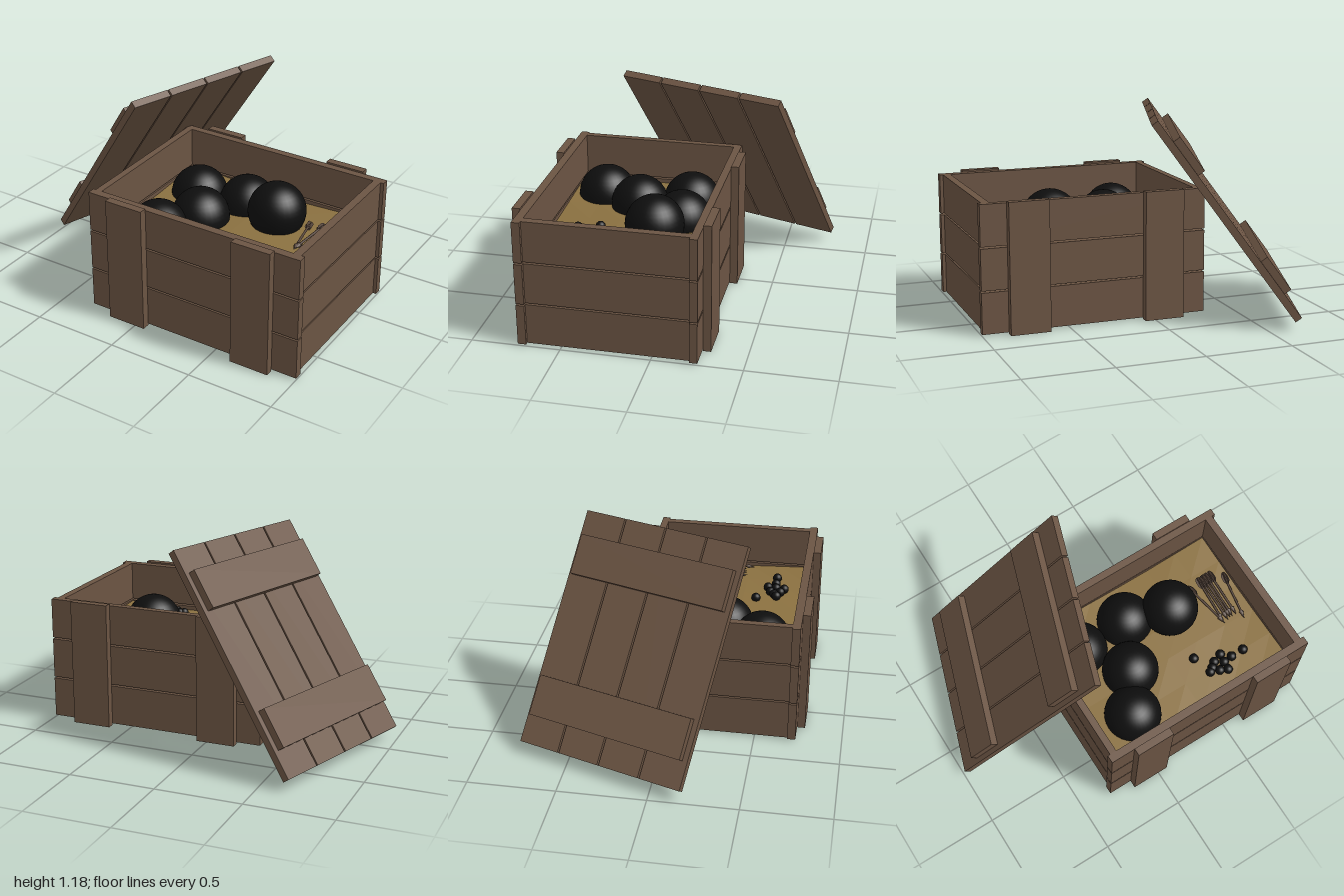
import * as THREE from 'three';

const mat = (name, color, opts = {}) => {
  const m = new THREE.MeshStandardMaterial({ color, ...opts });
  m.name = name;
  return m;
};

export function createModel() {
  const model = new THREE.Group();
  model.name = 'openCrate';
  const wood = mat('wood', 0x6b5443);
  const strawMat = mat('straw', 0x8a7040, { flatShading: true, side: THREE.DoubleSide });
  const iron = mat('iron', 0x0e0e0e);
  const darkWood = mat('darkWood', 0x55443a, { side: THREE.DoubleSide });

  const add = (parent, name, geometry, material, x = 0, y = 0, z = 0) => {
    const mesh = new THREE.Mesh(geometry, material);
    mesh.name = name;
    mesh.position.set(x, y, z);
    parent.add(mesh);
    return mesh;
  };
  // Box given by its minimum and maximum corners
  const board = (parent, name, a, b) => add(parent, name,
    new THREE.BoxGeometry(b[0] - a[0], b[1] - a[1], b[2] - a[2]), wood,
    (a[0] + b[0]) / 2, (a[1] + b[1]) / 2, (a[2] + b[2]) / 2);

  // Crate walls: three planks high with narrow gaps
  const crate = new THREE.Group();
  crate.name = 'crate';
  model.add(crate);
  for (let i = 0; i < 3; i++) {
    const y0 = 0.01 + i * 0.245, y1 = y0 + 0.235;
    board(crate, 'frontPlank', [-0.315, y0, 0.69], [1, y1, 0.737]);
    board(crate, 'backPlank', [-0.315, y0, -0.253], [1, y1, -0.21]);
    board(crate, 'leftPlank', [0.935, y0, -0.21], [0.98, y1, 0.69]);
    board(crate, 'rightPlank', [-0.3, y0, -0.21], [-0.26, y1, 0.69]);
  }
  // Upright cleats
  for (const x of [-0.17, 0.62]) {
    board(crate, 'frontCleat', [x, 0, 0.737], [x + 0.23, 0.745, 0.782]);
    board(crate, 'backCleat', [x, 0, -0.298], [x + 0.23, 0.745, -0.253]);
  }
  board(crate, 'floor', [-0.26, 0.02, -0.21], [0.935, 0.06, 0.69]);
  board(crate, 'innerPacking', [-0.255, 0.06, -0.205], [0.93, 0.42, 0.685]);

  // Gently uneven straw bed
  const bed = new THREE.PlaneGeometry(1.195, 0.9, 6, 5).rotateX(-Math.PI / 2);
  const p = bed.attributes.position;
  for (let i = 0; i < p.count; i++) {
    p.setY(i, 0.012 * Math.sin(p.getX(i) * 5 + 1) * Math.cos(p.getZ(i) * 6));
  }
  bed.computeVertexNormals();
  add(model, 'strawBed', bed, strawMat, 0.3375, 0.475, 0.24);

  // Large iron balls
  const ball = new THREE.SphereGeometry(0.165, 32, 20);
  for (const [x, y, z] of [[-0.07, 0.46, 0], [0.25, 0.485, -0.01], [0.5, 0.56, 0.09],
    [0.11, 0.495, 0.27], [-0.02, 0.485, 0.5]]) add(model, 'ironBall', ball, iron, x, y, z);

  // Loose small shot
  const shot = new THREE.SphereGeometry(0.028, 16, 10);
  for (const [x, z] of [[0.46, 0.41], [0.497, 0.53], [0.52, 0.515], [0.55, 0.49], [0.55, 0.55],
    [0.6, 0.52], [0.606, 0.47], [0.594, 0.57], [0.655, 0.515], [0.735, 0.515]]) {
    add(model, 'smallShot', shot, iron, x, 0.495, z);
  }

  // Bolts: shaft, pointed tip and crossed fletching, lying along z
  const shaft = new THREE.CylinderGeometry(0.007, 0.007, 0.26, 8).rotateX(Math.PI / 2);
  const tip = new THREE.ConeGeometry(0.014, 0.05, 8).rotateX(Math.PI / 2);
  const outline = new THREE.Shape([[-0.012, 0.035], [0.012, 0.035], [0.02, 0.015], [0.02, -0.02],
    [0.008, -0.04], [-0.008, -0.04], [-0.02, -0.02], [-0.02, 0.015]]
    .map(([x, y]) => new THREE.Vector2(x, y)));
  const fin = new THREE.ShapeGeometry(outline).rotateX(-Math.PI / 2);
  const bolts = [[0.685, 0.05, 0.735, 0.31], [0.755, 0.02, 0.735, 0.31], [0.77, 0.03, 0.765, 0.31],
    [0.79, 0.03, 0.785, 0.3], [0.81, 0.03, 0.8, 0.3], [0.835, 0.03, 0.825, 0.3],
    [0.9, 0.08, 0.853, 0.35]];
  for (const [x0, z0, x1, z1] of bolts) {
    const bolt = new THREE.Group();
    bolt.name = 'bolt';
    add(bolt, 'shaft', shaft, darkWood);
    add(bolt, 'tip', tip, darkWood, 0, 0, 0.125);
    for (let k = 0; k < 3; k++) {
      add(bolt, 'fletching', fin, darkWood, 0, 0, -0.13).rotation.z = k * Math.PI / 3;
    }
    bolt.position.set((x0 + x1) / 2, 0.5, (z0 + z1) / 2);
    bolt.rotation.y = Math.atan2(x1 - x0, z1 - z0);
    model.add(bolt);
  }

  // Lid leaning on the crate: four planks and two cleats on the outer face
  const lid = new THREE.Group();
  lid.name = 'lid';
  for (let i = 0; i < 4; i++) {
    const z = -0.505 + i * 0.255;
    board(lid, 'lidPlank', [-0.68, -0.021, z], [0.68, 0.021, z + 0.245]);
  }
  for (const x of [-0.405, 0.42]) {
    board(lid, 'lidCleat', [x - 0.115, 0.021, -0.475], [x + 0.115, 0.065, 0.475]);
  }
  lid.position.set(-0.4375, 0.6125, -0.1725);
  lid.rotation.set(0, -0.322, 0.943, 'YZX');
  model.add(lid);

  return model;
}
